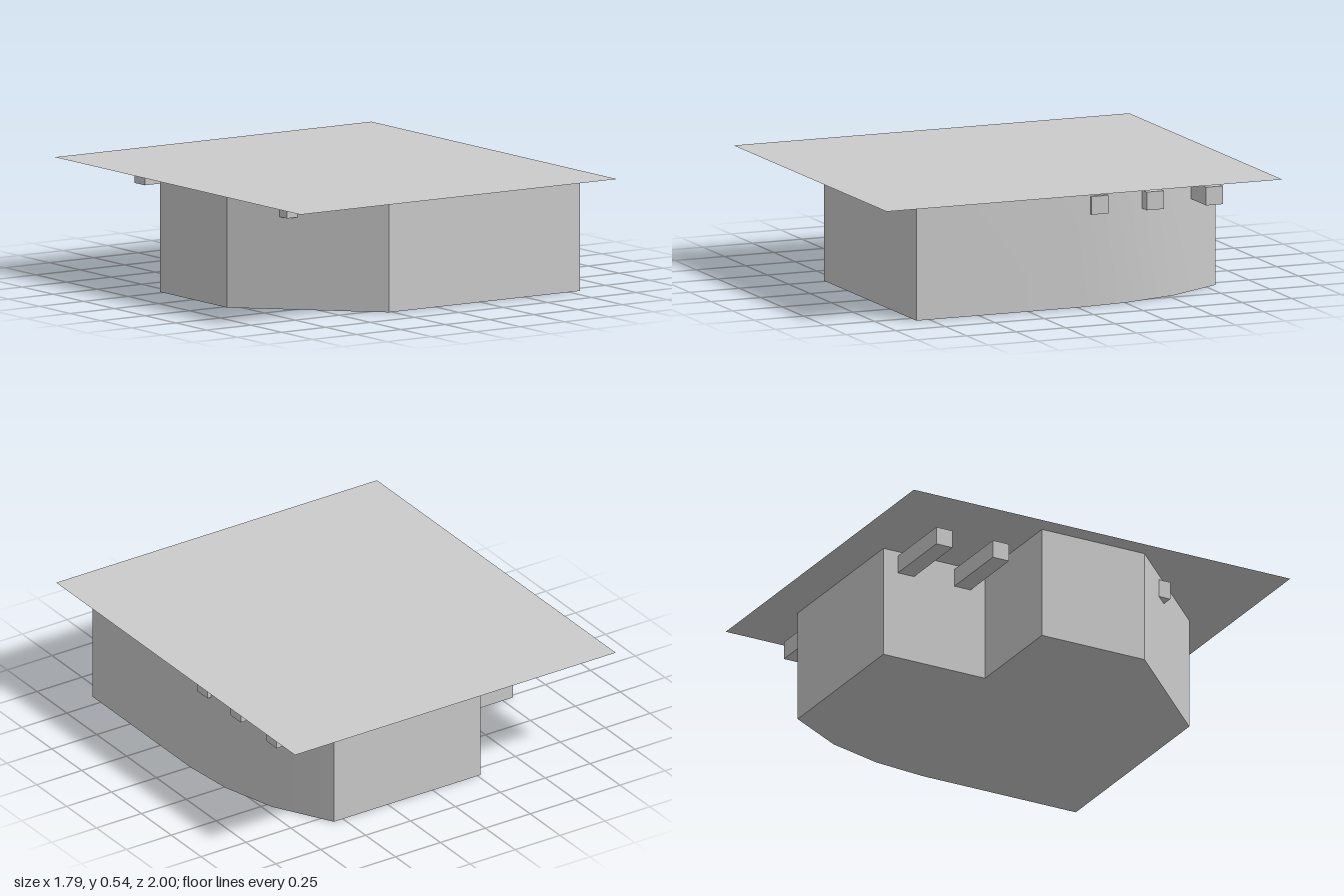
import * as THREE from 'three';
import { toCreasedNormals } from 'three/addons/utils/BufferGeometryUtils.js';

const HEIGHT = 0.543;

export function createModel() {
  const model = new THREE.Group();
  const grey = new THREE.MeshStandardMaterial({ color: 0xcccccc });
  const greyThin = new THREE.MeshStandardMaterial({ color: 0xcccccc, side: THREE.DoubleSide });

  function add(name, geometry, material = grey) {
    const mesh = new THREE.Mesh(geometry, material);
    mesh.name = name;
    model.add(mesh);
    return mesh;
  }

  // Walls: footprint [x, z] with a front chamfer, a back notch and a curved back corner
  const footprint = [
    [0.813, 0.815], [0.813, 0], [0.787, -0.26], [0.71, -0.53], [0.55, -0.81],
    [-0.265, -0.81], [-0.265, -0.27], [-0.805, -0.27], [-0.805, 0.275], [-0.265, 0.815],
  ];
  const shape = new THREE.Shape(footprint.map(([x, z]) => new THREE.Vector2(x, -z)));
  const walls = new THREE.ExtrudeGeometry(shape, { depth: HEIGHT - 0.001, bevelEnabled: false });
  walls.rotateX(-Math.PI / 2);
  add('walls', toCreasedNormals(walls, 0.5));

  // Roof: thin flat sheet overhanging the walls
  const roof = add('roof', new THREE.PlaneGeometry(1.786, 2).rotateX(-Math.PI / 2), greyThin);
  roof.position.y = HEIGHT;

  // Roof beams: square bars through the walls, each with a jointed piece at both ends
  const beams = [[-0.69, 0.818], [-0.39, 0.818], [-0.11, 0.818], [0.467, 0.805]];
  for (const [z, right] of beams) {
    const joints = [-0.63, -0.456, 0.642, right];
    for (let i = 0; i < 3; i++) {
      const length = joints[i + 1] - joints[i];
      const beam = add('roofBeam', new THREE.BoxGeometry(length, 0.086, 0.086));
      beam.position.set(joints[i] + length / 2, 0.477, z);
    }
  }

  return model;
}
